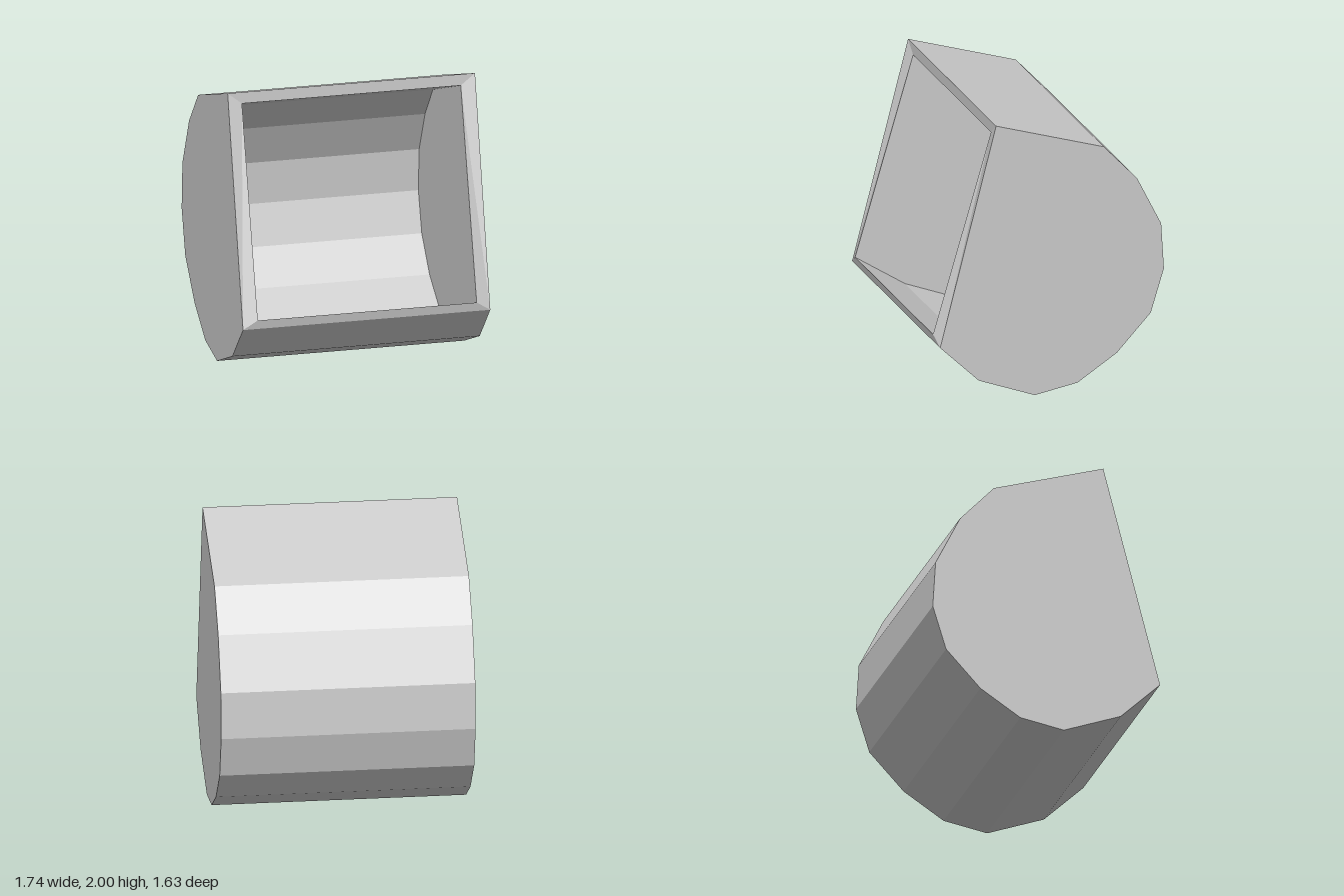
import * as THREE from 'three';

// Side profiles as [z, y], from the top front edge round the back to the bottom front edge
const OUTER = [
  [0.40, 2.00], [-0.38, 1.745], [-0.62, 1.485], [-0.795, 1.13], [-0.815, 0.80], [-0.72, 0.49],
  [-0.475, 0.23], [-0.19, 0.05], [0.12, 0.0], [0.525, 0.16], [0.805, 0.435],
];
const INNER = [
  [0.40, 1.92], [-0.335, 1.66], [-0.545, 1.42], [-0.70, 1.12], [-0.72, 0.82], [-0.63, 0.54],
  [-0.425, 0.31], [-0.17, 0.155], [0.10, 0.115], [0.46, 0.26], [0.82, 0.50],
];
const OUTER_X = 0.87;
const INNER_X = 0.77;

const at = (x, [z, y]) => [x, y, z];

// Flat-shaded geometry from a list of triangles
function fromTriangles(triangles) {
  const geometry = new THREE.BufferGeometry();
  geometry.setAttribute('position', new THREE.Float32BufferAttribute(triangles.flat(2), 3));
  geometry.computeVertexNormals();
  return geometry;
}

// Curved wall swept across x plus two flat sides, open at the front
function shell(profile, w, inward) {
  const triangles = [];
  for (let i = 0; i < profile.length - 1; i++) {
    const p = profile[i], q = profile[i + 1];
    triangles.push([at(-w, p), at(w, p), at(w, q)], [at(-w, p), at(w, q), at(-w, q)]);
    if (i > 0) {
      triangles.push([at(w, profile[0]), at(w, q), at(w, p)]);
      triangles.push([at(-w, profile[0]), at(-w, p), at(-w, q)]);
    }
  }
  if (inward) triangles.forEach((t) => t.reverse());
  return fromTriangles(triangles);
}

// Bevelled frame joining the two shells round the opening
function rim() {
  const triangles = [];
  const ot = OUTER[0], ob = OUTER.at(-1), it = INNER[0], ib = INNER.at(-1);
  const quad = (a, b, c, d) => triangles.push([a, b, c], [a, c, d]);
  quad(at(-OUTER_X, ot), at(-INNER_X, it), at(INNER_X, it), at(OUTER_X, ot));
  quad(at(-OUTER_X, ob), at(OUTER_X, ob), at(INNER_X, ib), at(-INNER_X, ib));
  quad(at(-OUTER_X, ob), at(-INNER_X, ib), at(-INNER_X, it), at(-OUTER_X, ot));
  // right-hand side split along the mirrored diagonal
  triangles.push([at(OUTER_X, ob), at(OUTER_X, ot), at(INNER_X, it)]);
  triangles.push([at(OUTER_X, ob), at(INNER_X, it), at(INNER_X, ib)]);
  return fromTriangles(triangles);
}

export function createModel() {
  const group = new THREE.Group();
  group.name = 'openBin';
  const grey = new THREE.MeshStandardMaterial({ color: 0xcccccc });
  grey.name = 'light grey';

  const add = (name, geometry) => {
    const mesh = new THREE.Mesh(geometry, grey);
    mesh.name = name;
    group.add(mesh);
  };
  add('outerShell', shell(OUTER, OUTER_X, false));
  add('innerCavity', shell(INNER, INNER_X, true));
  add('frontRim', rim());
  return group;
}
